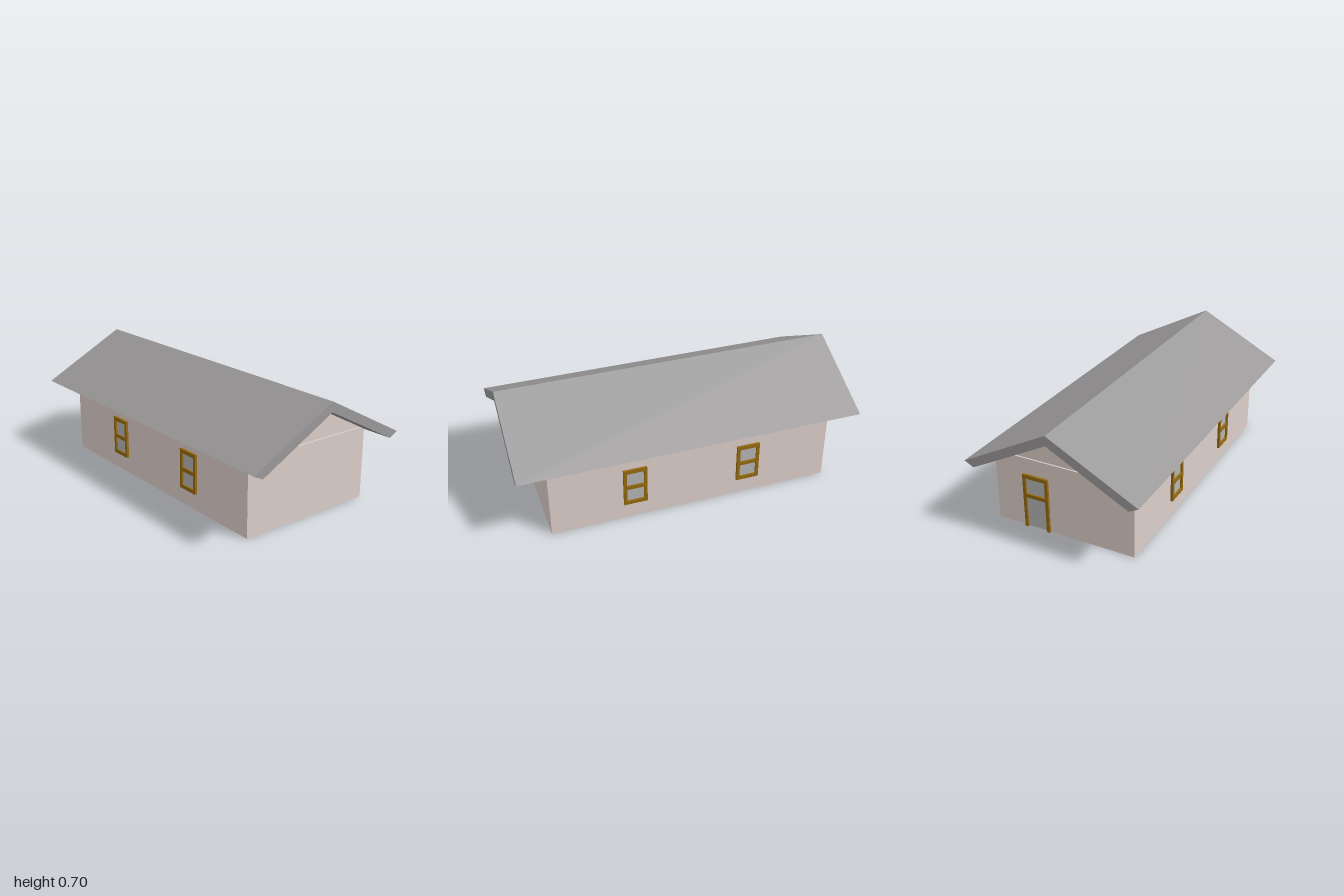
import * as THREE from 'three';

const mat = (color) => new THREE.MeshStandardMaterial({ color, flatShading: true });
const WALL = mat(0xdccec9), ROOF = mat(0x9b9999), WOOD = mat(0x966a10), GLASS = mat(0xb4b4b4);

function box(name, material, w, h, d, x, y, z) {
  const mesh = new THREE.Mesh(new THREE.BoxGeometry(w, h, d), material);
  mesh.name = name;
  mesh.position.set(x, y, z);
  return mesh;
}

// Prism along x from a list of [z, y] points
function prism(name, material, points, length) {
  const shape = new THREE.Shape(points.map(([z, y]) => new THREE.Vector2(-z, y)));
  const geo = new THREE.ExtrudeGeometry(shape, { depth: length, bevelEnabled: false });
  geo.translate(0, 0, -length / 2).rotateY(Math.PI / 2);
  const mesh = new THREE.Mesh(geo, material);
  mesh.name = name;
  return mesh;
}

// Wooden frame with a pane, facing +z, standing on its own y = 0
function framedPane(name, w, h, barY, sill) {
  const t = 0.018, d = 0.014;
  const g = new THREE.Group();
  g.name = name;
  for (const s of [-1, 1]) g.add(box('framePost', WOOD, t, h, d, s * (w - t) / 2, h / 2, d / 2));
  const rail = (n, y) => g.add(box(n, WOOD, w - 2 * t, 0.022, d, 0, y, d / 2));
  rail('topRail', h - 0.011);
  rail('middleRail', barY);
  if (sill) rail('bottomRail', 0.011);
  g.add(box('pane', GLASS, w - 2 * t, h - 0.01, 0.004, 0, h / 2, 0.002));
  return g;
}

export function createModel() {
  const house = new THREE.Group();
  house.name = 'house';

  // Walls and the gable block above them, with a narrow joint between
  house.add(box('walls', WALL, 1.66, 0.422, 0.84, 0, 0.211, -0.02));
  house.add(prism('gable', WALL, [[-0.402, 0.428], [0.402, 0.428], [0, 0.64]], 1.66));

  // Pitched roof of even thickness
  house.add(prism('roof', ROOF, [
    [0, 0.697], [0.51, 0.428], [0.455, 0.4], [0, 0.64], [-0.455, 0.4], [-0.51, 0.428],
  ], 2));

  // Two windows on each long side
  for (const x of [-0.33, 0.346]) {
    const front = framedPane('frontWindow', 0.136, 0.23, 0.113, true);
    front.position.set(x, 0.098, 0.4);
    const back = framedPane('backWindow', 0.136, 0.23, 0.113, true);
    back.position.set(x, 0.098, -0.44);
    back.rotation.y = Math.PI;
    house.add(front, back);
  }

  // Door on the right end
  const door = framedPane('door', 0.155, 0.328, 0.2, false);
  door.position.set(-0.83, 0, -0.187);
  door.rotation.y = -Math.PI / 2;
  house.add(door);

  return house;
}
